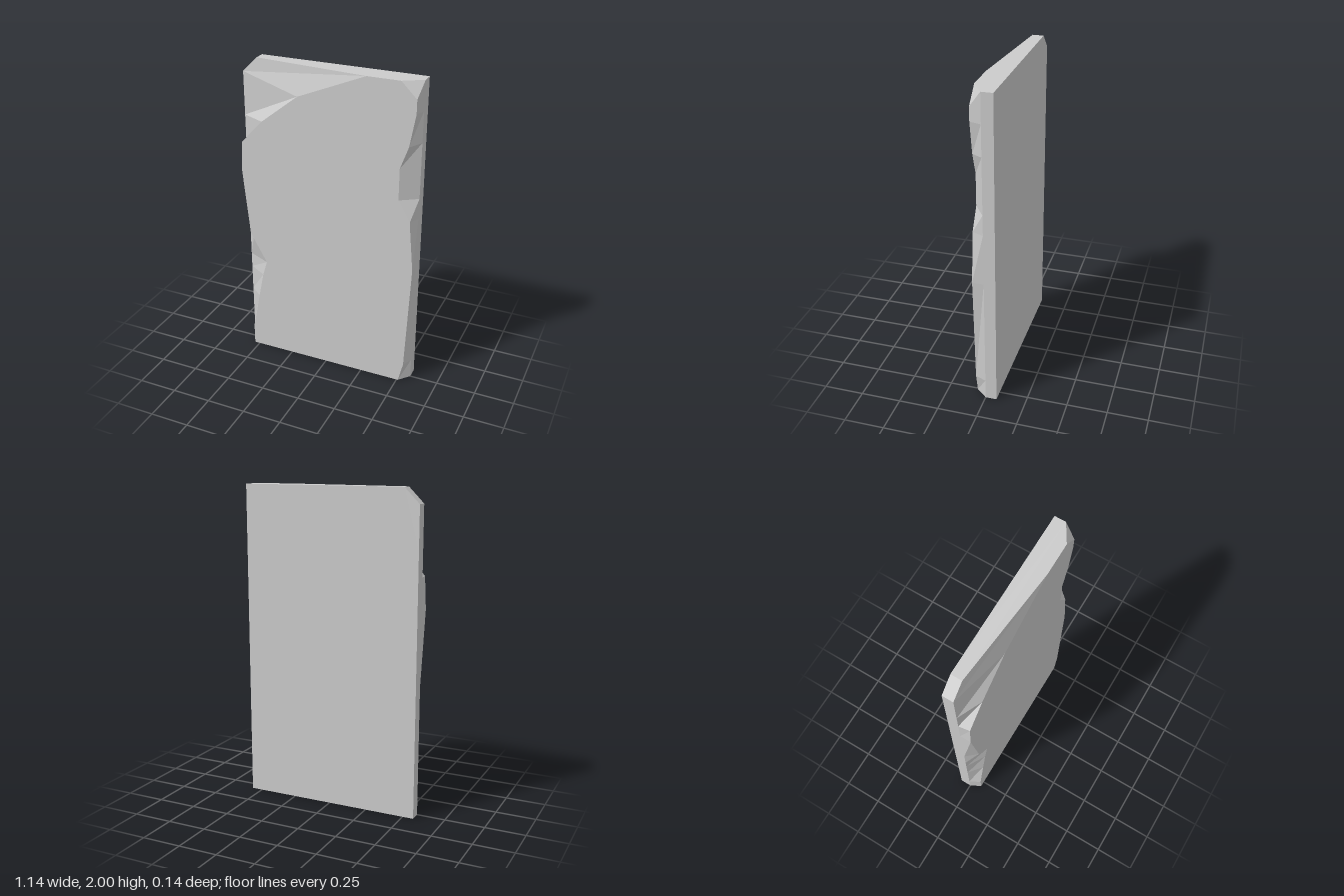
import * as THREE from 'three';

// Each entry pairs a front-face corner with its matching corner on the full
// outline: [frontX, frontY, edgeX, edgeY], clockwise from the bottom corner at -x.
const corners = [
  // chipped edge at -x
  [-0.535, 0, -0.57, 0], [-0.535, 0.13, -0.57, 0.13], [-0.485, 0.39, -0.57, 0.39],
  [-0.45, 0.56, -0.57, 0.56], [-0.42, 0.66, -0.57, 0.66], [-0.51, 0.82, -0.57, 0.82],
  [-0.57, 1.28, -0.57, 1.28], [-0.56, 1.48, -0.57, 1.48],
  // large broken corner
  [-0.42, 1.63, -0.57, 1.63], [-0.18, 1.82, -0.57, 1.905], [0.25, 2, -0.475, 2],
  // top corner and chipped edge at +x
  [0.455, 2, 0.57, 2], [0.55, 1.905, 0.57, 1.905], [0.55, 1.82, 0.57, 1.82],
  [0.515, 1.62, 0.57, 1.63], [0.465, 1.48, 0.57, 1.5], [0.465, 1.28, 0.57, 1.28],
  [0.54, 1.15, 0.57, 1.15], [0.57, 0.83, 0.57, 0.83], [0.54, 0.13, 0.57, 0.13],
  [0.51, 0, 0.57, 0],
];

function slabGeometry() {
  const front = corners.map(([x, y]) => new THREE.Vector3(x, y, 0.07));
  const middle = corners.map(([, , x, y]) => new THREE.Vector3(x, y, 0));
  const back = middle.map((p) => new THREE.Vector3(p.x, p.y, -0.07));
  const points = [];

  // Flat cap over a loop, facing +z (side 1) or -z (side -1)
  const cap = (loop, side) => {
    const flat = loop.map((p) => new THREE.Vector2(p.x, p.y));
    for (const [i, j, k] of THREE.ShapeUtils.triangulateShape(flat, [])) {
      const turn = THREE.ShapeUtils.area([flat[i], flat[j], flat[k]]) * side;
      points.push(loop[i], ...(turn > 0 ? [loop[j], loop[k]] : [loop[k], loop[j]]));
    }
  };

  // Band of quads from a nearer loop to a farther one
  const band = (near, far) => near.forEach((a, i) => {
    const j = (i + 1) % near.length;
    points.push(a, near[j], far[i], near[j], far[j], far[i]);
  });

  cap(front, 1);
  band(front, middle);
  band(middle, back);
  cap(back, -1);

  const geometry = new THREE.BufferGeometry().setFromPoints(points);
  geometry.computeVertexNormals();
  return geometry;
}

export function createModel() {
  const group = new THREE.Group();
  group.name = 'stoneSlab';
  const material = new THREE.MeshStandardMaterial({ color: 0xcccccc, flatShading: true });
  const slab = new THREE.Mesh(slabGeometry(), material);
  slab.name = 'chippedSlab';
  group.add(slab);
  return group;
}
